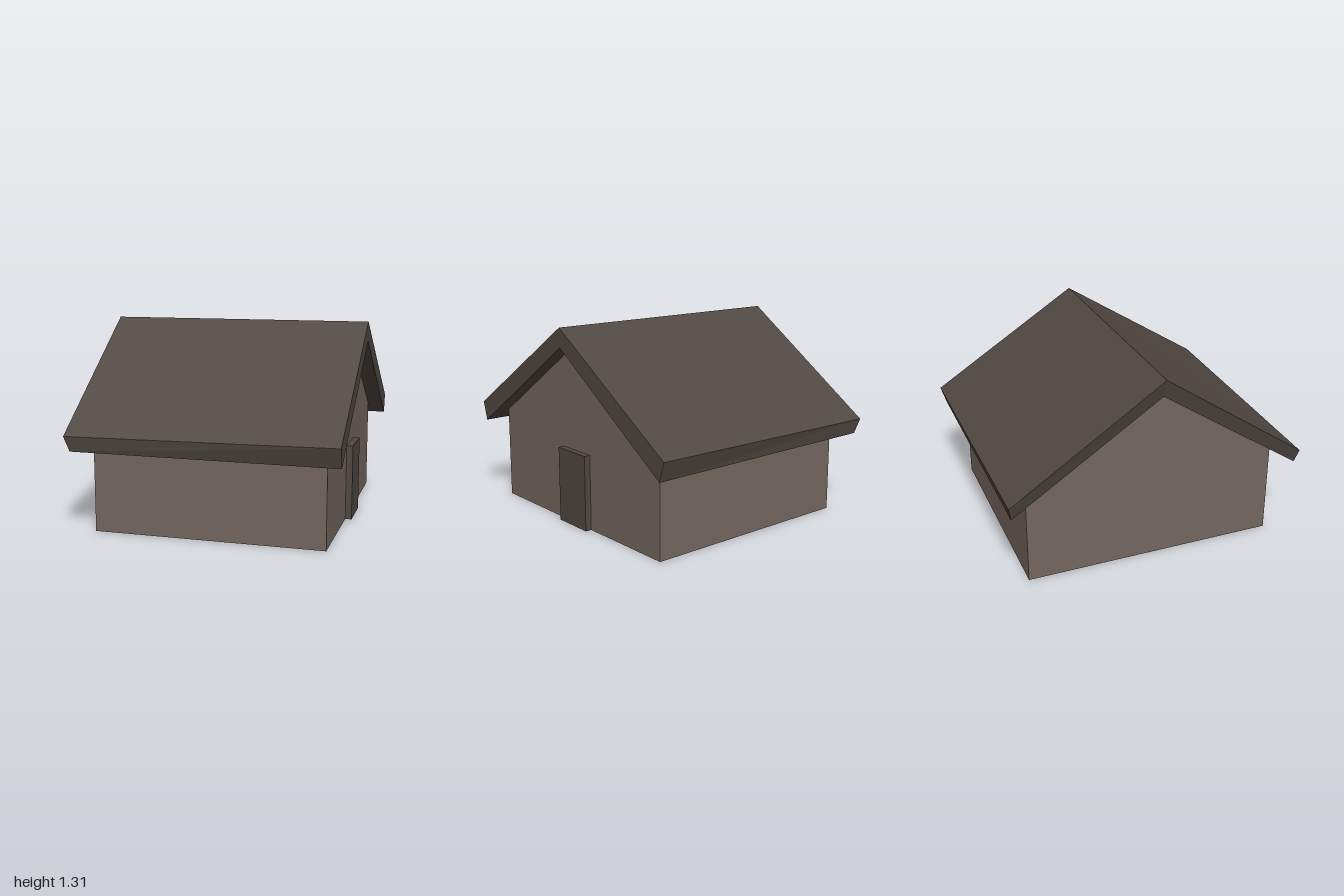
import * as THREE from 'three';

const wallMaterial = new THREE.MeshStandardMaterial({ color: 0x75675f, flatShading: true });
const darkMaterial = new THREE.MeshStandardMaterial({ color: 0x504842, flatShading: true });

function part(name, geometry, material) {
  const mesh = new THREE.Mesh(geometry, material);
  mesh.name = name;
  return mesh;
}

// Joins two chevron sections of six points (outer edge front to back, inner edge back to front)
function roofGeometry(left, right) {
  const index = [];
  const quad = (a, b, c, d) => index.push(a, b, c, a, c, d);
  for (let i = 0; i < 6; i++) {
    const j = (i + 1) % 6;
    quad(i, i + 6, j + 6, j);
  }
  for (const [a, b, c, d] of [[0, 5, 4, 1], [1, 4, 3, 2]]) {
    quad(a + 6, b + 6, c + 6, d + 6);
    quad(d, c, b, a);
  }
  const geometry = new THREE.BufferGeometry();
  geometry.setAttribute('position', new THREE.Float32BufferAttribute([...left, ...right].flat(), 3));
  geometry.setIndex(index);
  const flat = geometry.toNonIndexed();
  flat.computeVertexNormals();
  return flat;
}

export function createModel() {
  const house = new THREE.Group();
  house.name = 'house';

  // Gabled body, extruded along x
  const gable = new THREE.Shape([
    new THREE.Vector2(-0.838, 0),
    new THREE.Vector2(0.838, 0),
    new THREE.Vector2(0.838, 0.625),
    new THREE.Vector2(-0.01, 1.185),
    new THREE.Vector2(-0.838, 0.625),
  ]);
  const body = new THREE.ExtrudeGeometry(gable, { depth: 1.49, bevelEnabled: false });
  body.rotateY(Math.PI / 2).translate(-0.725, 0, 0);
  house.add(part('walls', body, wallMaterial));

  // Thick roof, its left end slightly narrower and undercut
  const leftEnd = [
    [-0.865, 0.637, 0.978], [-0.873, 1.302, 0.01], [-0.865, 0.637, -0.98],
    [-0.832, 0.54, -0.96], [-0.835, 1.18, 0.01], [-0.832, 0.54, 0.962],
  ];
  const rightEnd = [
    [0.87, 0.667, 1], [0.87, 1.306, 0.01], [0.87, 0.667, -1],
    [0.87, 0.54, -0.96], [0.87, 1.18, 0.01], [0.87, 0.54, 0.962],
  ];
  house.add(part('roof', roofGeometry(leftEnd, rightEnd), darkMaterial));

  // Door standing proud of the gable wall
  const door = part('door', new THREE.BoxGeometry(0.05, 0.5, 0.29), darkMaterial);
  door.position.set(0.782, 0.25, 0.002);
  house.add(door);

  return house;
}
